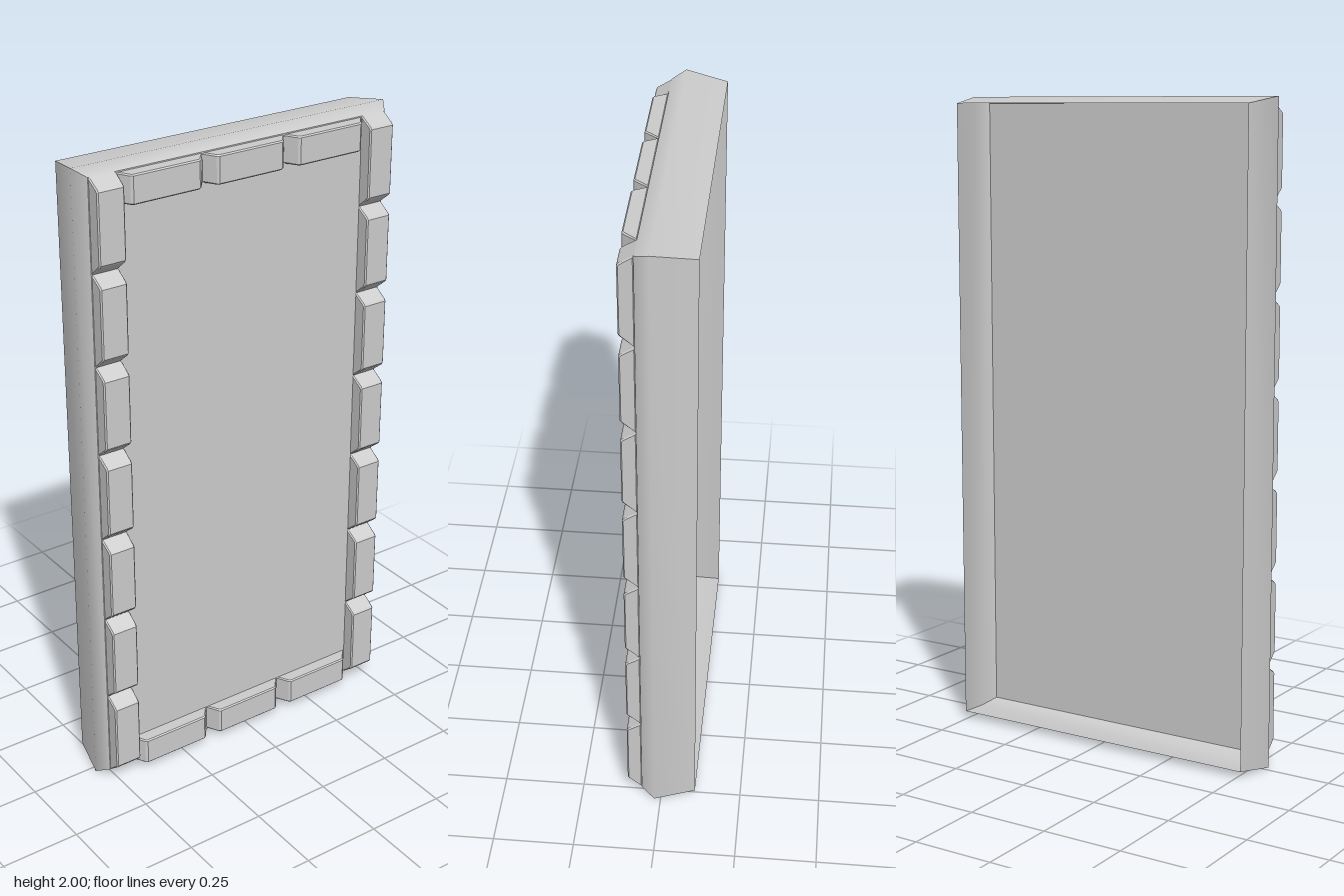
import * as THREE from 'three';

const material = new THREE.MeshStandardMaterial({ color: 0xcccccc, side: THREE.DoubleSide });
const PANEL_Z = 0.062, FRONT_Z = 0.107;

function addMesh(parent, geometry, name) {
  const mesh = new THREE.Mesh(geometry, material);
  mesh.name = name;
  parent.add(mesh);
  return mesh;
}

// One mitred side wall: a strip through back rim, ridge and front edge, smooth across the ridge.
function wallGeometry(side) {
  const sections = [[0.512, 0.98, -0.107], [0.54, 1, 0.02], [0.512, 0.98, PANEL_Z]];
  const corners = [[1, -1], [1, 1], [-1, 1], [-1, -1]];
  const a = corners[side], b = corners[(side + 1) % 4];
  const positions = [], index = [];
  for (const [w, h, z] of sections) {
    positions.push(a[0] * w, 1 + a[1] * h, z, b[0] * w, 1 + b[1] * h, z);
  }
  for (let i = 0; i < 4; i += 2) index.push(i, i + 1, i + 3, i, i + 3, i + 2);
  const geometry = new THREE.BufferGeometry();
  geometry.setAttribute('position', new THREE.Float32BufferAttribute(positions, 3));
  geometry.setIndex(index);
  geometry.computeVertexNormals();
  return geometry;
}

// A block running along +x from 0, with sloped ends, width along y and depth along z.
function blockGeometry(length, width, startSlope, endSlope) {
  const depth = FRONT_Z - PANEL_Z, bevel = 0.004;
  const shape = new THREE.Shape([
    new THREE.Vector2(0, 0),
    new THREE.Vector2(length, 0),
    new THREE.Vector2(length - endSlope + 0.003, depth - 0.005),
    new THREE.Vector2(length - endSlope - 0.004, depth),
    new THREE.Vector2(startSlope + 0.004, depth),
    new THREE.Vector2(startSlope - 0.003, depth - 0.005),
  ]);
  return new THREE.ExtrudeGeometry(shape, {
    depth: width - 2 * bevel, bevelEnabled: true, bevelSegments: 1,
    bevelThickness: bevel, bevelSize: bevel, bevelOffset: -bevel,
  }).translate(0, 0, bevel - width / 2).rotateX(Math.PI / 2);
}

export function createModel() {
  const group = new THREE.Group();
  group.name = 'framedPanel';

  // Open-backed shell
  const shell = new THREE.Group();
  shell.name = 'shell';
  group.add(shell);
  ['leftWall', 'topWall', 'rightWall', 'bottomWall'].forEach((name, i) => addMesh(shell, wallGeometry(i), name));
  addMesh(shell, new THREE.PlaneGeometry(1.024, 1.96), 'frontPanel').position.set(0, 1, PANEL_Z);

  // Columns of seven blocks at each side; the blocks share one geometry
  const sideBlock = blockGeometry(0.28, 0.087, 0.035, 0.027).rotateZ(Math.PI / 2);
  // Rows of three blocks at top and bottom
  const rowLength = 0.848 / 3;
  const rowBlock = blockGeometry(rowLength, 0.087, 0.024, 0.034);
  // Extrusion depth points backwards after the turn, so flip it to face forwards
  for (const geometry of [sideBlock, rowBlock]) {
    geometry.computeBoundingBox();
    if (geometry.boundingBox.max.z < 0.01) {
      geometry.scale(1, 1, -1);
    }
  }

  for (const side of [-1, 1]) {
    const column = new THREE.Group();
    column.name = side > 0 ? 'leftBlocks' : 'rightBlocks';
    for (let i = 0; i < 7; i++) {
      addMesh(column, sideBlock, 'sideBlock').position.set(side * 0.4675, 0.02 + i * 0.28, PANEL_Z);
    }
    const row = new THREE.Group();
    row.name = side > 0 ? 'topBlocks' : 'bottomBlocks';
    for (let i = 0; i < 3; i++) {
      addMesh(row, rowBlock, 'rowBlock').position.set(-0.424 + i * rowLength, 1 + side * 0.934, PANEL_Z);
    }
    group.add(column, row);
  }
  return group;
}
